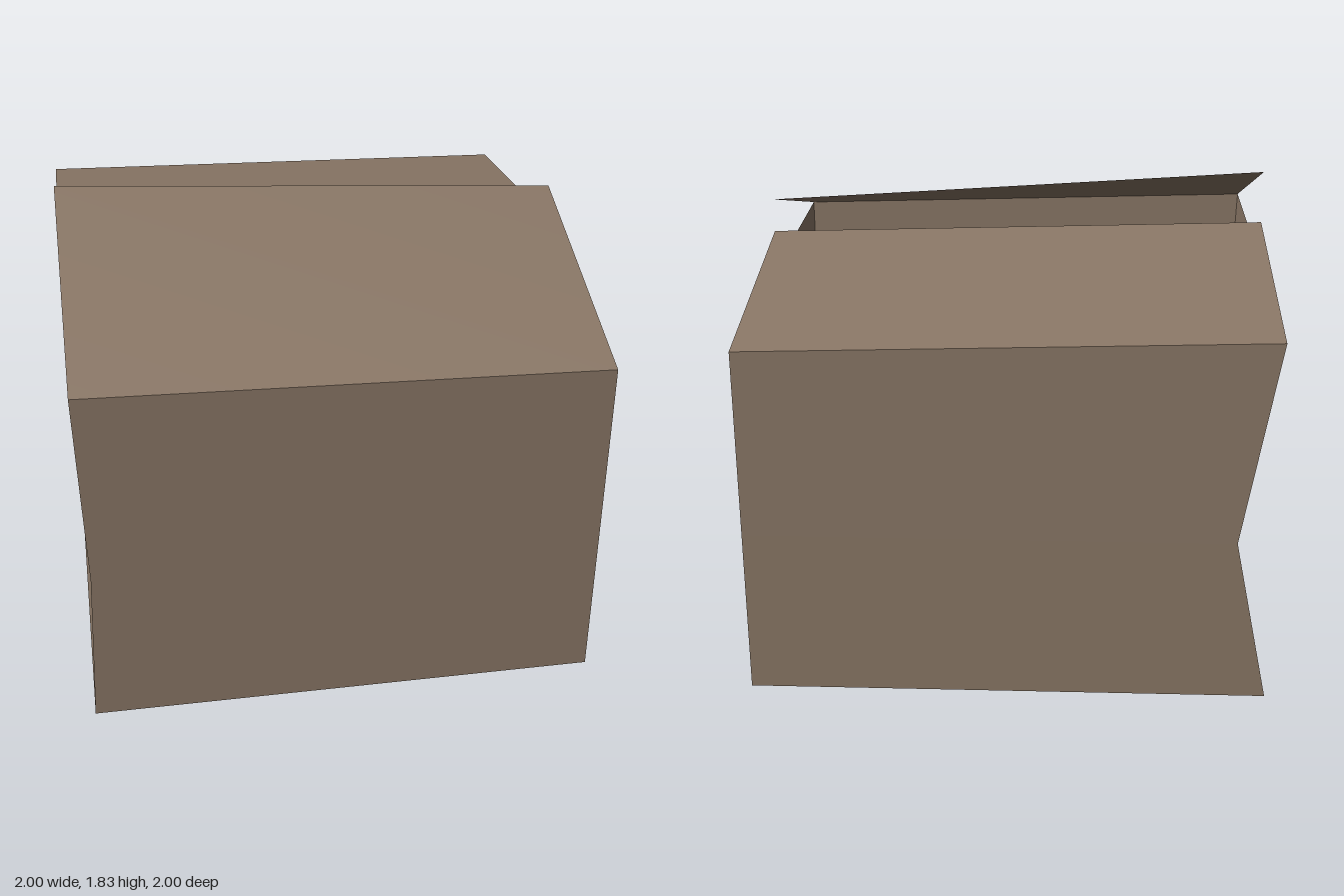
import * as THREE from 'three';

export function createModel() {
  const group = new THREE.Group();
  const cardboard = new THREE.MeshStandardMaterial({ color: 0x8a7766, side: THREE.DoubleSide });
  cardboard.name = 'cardboard brown';

  // A panel is a strip of [left, right] rows, seen from outside, lowest row first.
  function panel(name, ...rows) {
    const index = [];
    for (let i = 0; i < rows.length - 1; i++) {
      const l = 2 * i, r = l + 1;
      index.push(l, r, l + 2, r, r + 2, l + 2);
    }
    const geometry = new THREE.BufferGeometry();
    geometry.setAttribute('position', new THREE.Float32BufferAttribute(rows.flat(2), 3));
    geometry.setIndex(index);
    geometry.computeVertexNormals();
    const mesh = new THREE.Mesh(geometry, cardboard);
    mesh.name = name;
    group.add(mesh);
  }

  // Corner columns as bottom, fold and top; the -x side is buckled inwards.
  const high = 1.46, low = 1.4, fold = 0.66;
  const column = (x, z, foldX, top) => [[x, 0, z], [foldX, fold, z], [x, top, z]];
  const frontA = column(-1, 1, -0.975, high);
  const backA = column(-1, -1, -0.865, high);
  const frontB = column(1, 1, 1, low);
  const backB = column(1, -1, 1, low);
  const wall = (name, left, right) => panel(name, ...left.map((p, i) => [p, right[i]]));

  // Four walls and the base
  wall('frontWall', frontA, frontB);
  wall('plainSideWall', frontB, backB);
  wall('backWall', backB, backA);
  wall('buckledSideWall', backA, frontA);
  panel('base', [backA[0], backB[0]], [frontA[0], frontB[0]]);

  // Two lid flaps, both left partly open; the front one is slightly twisted
  panel('frontFlap', [frontA[2], frontB[2]], [[-1, 1.825, 0], [1, 1.69, 0]]);
  panel('backFlap', [backB[2], backA[2]], [[1, 1.555, 0], [-1, 1.615, 0]]);

  return group;
}
